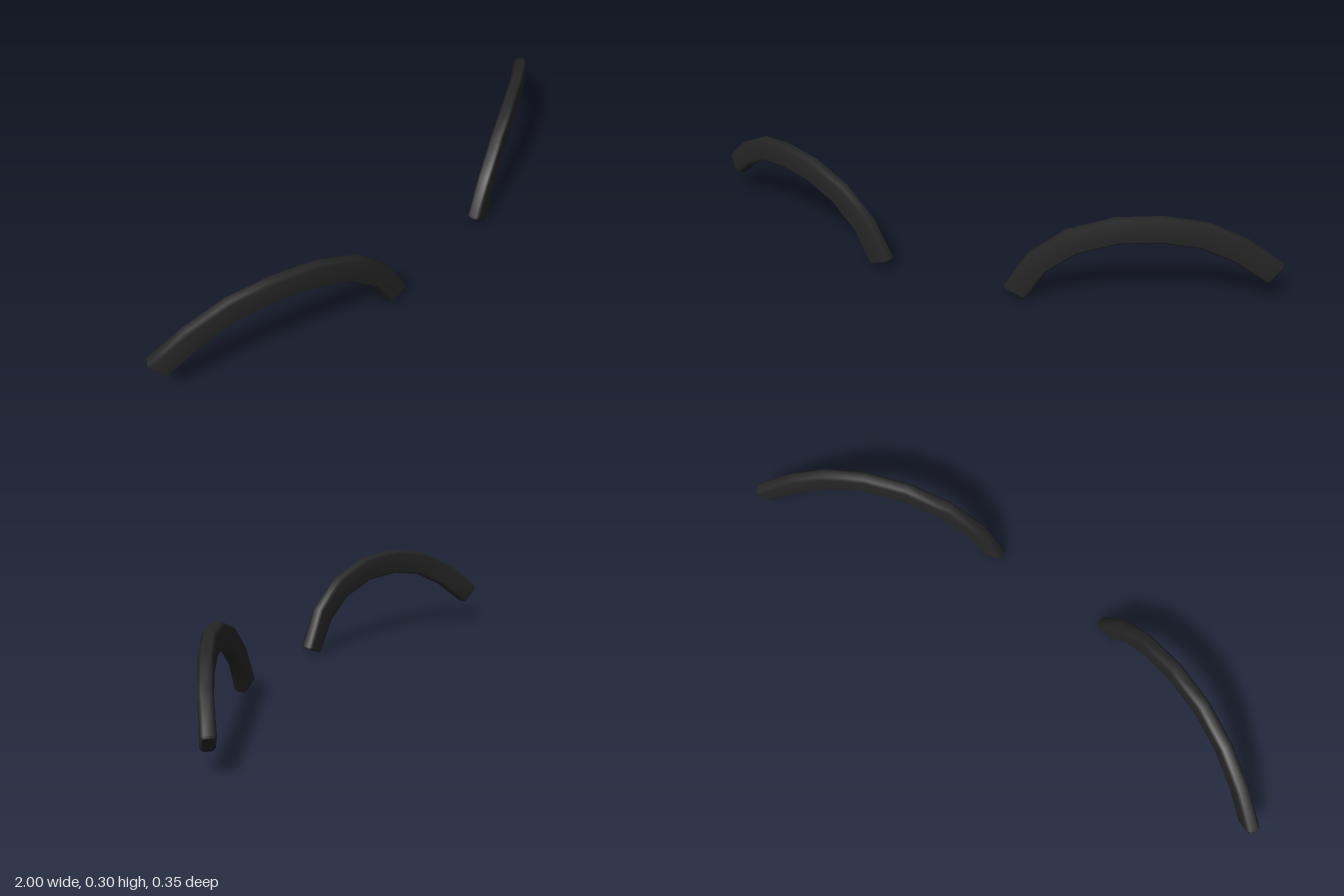
import * as THREE from 'three';

// Centre line of one brow, from the inner end to the outer end
const PATH = [
  [0.235, 0.016, 0.158], [0.30, 0.13, 0.147], [0.40, 0.211, 0.122], [0.527, 0.257, 0.082],
  [0.655, 0.265, 0.033], [0.773, 0.243, -0.025], [0.88, 0.182, -0.086], [0.973, 0.097, -0.147],
].map((p) => new THREE.Vector3(...p));

const HALF_DEPTH = 0.0215, HALF_HEIGHT = 0.04, BEVEL = 0.009;

// Bevelled rectangle, as [depth, height] offsets
function section(inset) {
  const d = HALF_DEPTH - inset, h = HALF_HEIGHT - inset, b = BEVEL - inset * 0.5;
  return [[d, -h + b], [d, h - b], [d - b, h], [-d + b, h],
    [-d, h - b], [-d, -h + b], [-d + b, -h], [d - b, -h]];
}

// Direction of the path at point i, with a curved estimate at the ends
function tangent(i) {
  const n = PATH.length - 1;
  const t = new THREE.Vector3();
  if (i > 0 && i < n) return t.subVectors(PATH[i + 1], PATH[i - 1]).normalize();
  const s = i === 0 ? 1 : -1;
  return t.addScaledVector(PATH[i], -3 * s).addScaledVector(PATH[i + s], 4 * s)
    .addScaledVector(PATH[i + 2 * s], -s).normalize();
}

function browGeometry(mirror) {
  const pos = [], idx = [], rings = [];
  const last = PATH.length - 1;

  function addRing(i, slide, inset) {
    const t = tangent(i);
    const front = new THREE.Vector3(-t.z, 0, t.x).normalize();
    const up = new THREE.Vector3().crossVectors(front, t).normalize();
    const start = pos.length / 3;
    for (const [d, h] of section(inset)) {
      const p = PATH[i].clone().addScaledVector(t, slide).addScaledVector(front, d).addScaledVector(up, h);
      pos.push(mirror ? -p.x : p.x, p.y, p.z);
    }
    return start;
  }
  const tri = (a, b, c) => (mirror ? idx.push(a, c, b) : idx.push(a, b, c));

  // Body rings, with a small bevel at both ends
  rings.push(addRing(0, 0, 0.005));
  PATH.forEach((p, i) => rings.push(addRing(i, i === 0 ? 0.008 : i === last ? -0.008 : 0, 0)));
  rings.push(addRing(last, 0, 0.005));
  for (let r = 0; r < rings.length - 1; r++) {
    for (let j = 0; j < 8; j++) {
      const k = (j + 1) % 8, a = rings[r], b = rings[r + 1];
      tri(a + j, b + j, a + k);
      tri(a + k, b + j, b + k);
    }
  }

  // Flat end caps on their own vertices
  const c0 = addRing(0, 0, 0.005), c1 = addRing(last, 0, 0.005);
  for (let j = 1; j < 7; j++) {
    tri(c0, c0 + j, c0 + j + 1);
    tri(c1, c1 + j + 1, c1 + j);
  }

  const g = new THREE.BufferGeometry();
  g.setAttribute('position', new THREE.Float32BufferAttribute(pos, 3));
  g.setIndex(idx);
  g.computeVertexNormals();
  return g;
}

export function createModel() {
  const group = new THREE.Group();
  group.name = 'eyebrows';
  const charcoal = new THREE.MeshStandardMaterial({ color: 0x262626 });
  charcoal.name = 'charcoal';
  for (const [name, mirror] of [['leftEyebrow', false], ['rightEyebrow', true]]) {
    const brow = new THREE.Mesh(browGeometry(mirror), charcoal);
    brow.name = name;
    group.add(brow);
  }
  return group;
}
